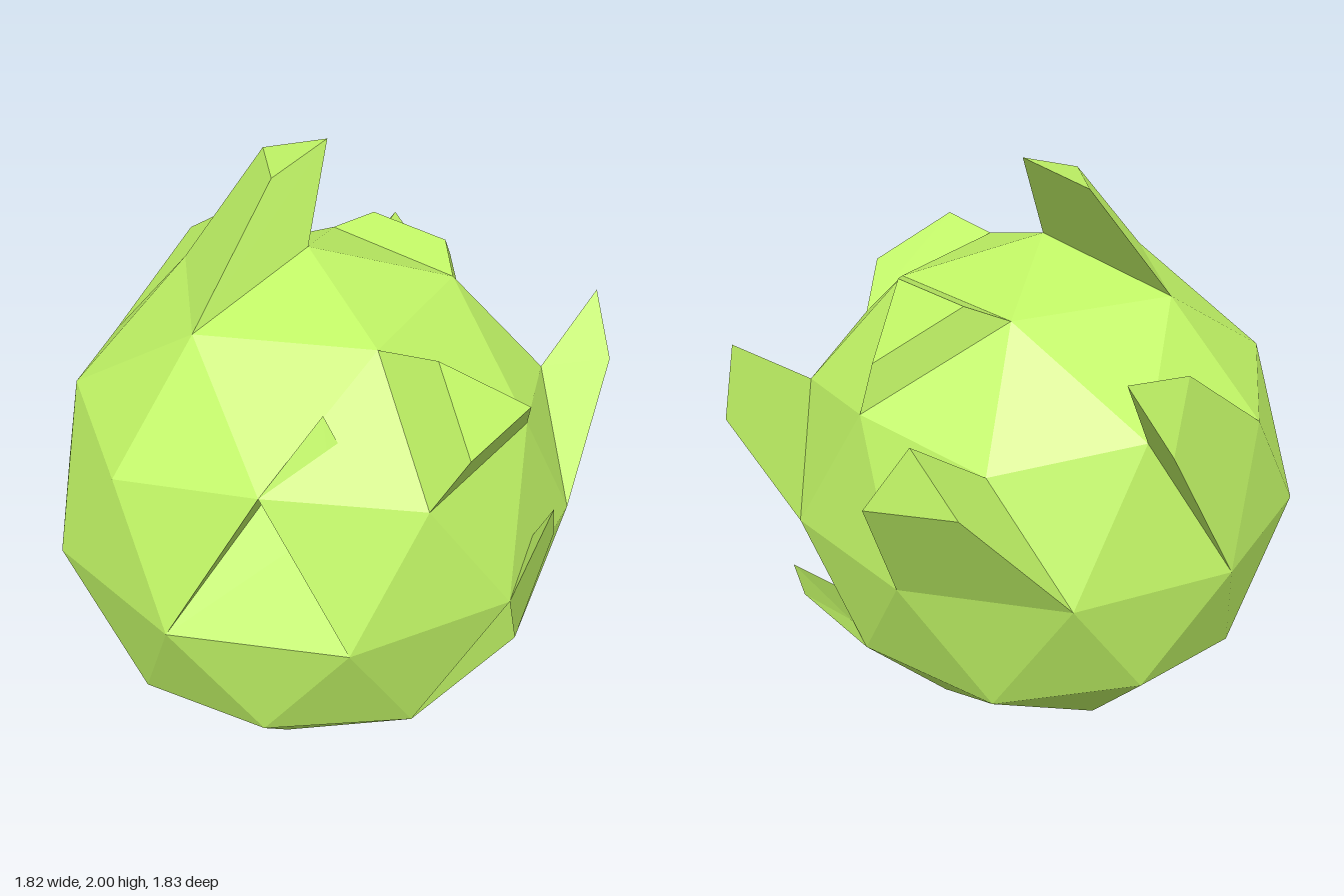
import * as THREE from 'three';
import { ConvexGeometry } from 'three/addons/geometries/ConvexGeometry.js';

const R = 0.86;
const CENTER = new THREE.Vector3(-0.05, R, 0.1);

// Five points on the ball at height h (unit sphere), the first at angle start from +z
function ring(h, start, count = 5) {
  const r = Math.sqrt(1 - h * h);
  return Array.from({ length: count }, (_, i) => {
    const a = THREE.MathUtils.degToRad(start + (i * 360) / count);
    return new THREE.Vector3(r * Math.sin(a), h, r * Math.cos(a)).multiplyScalar(R).add(CENTER);
  });
}

// Corners of a once-subdivided icosahedron standing on one corner
function ballPoints() {
  return [
    ...ring(1, 0, 1), ...ring(0.8507, 36), ...ring(0.4472, 36), ...ring(0.5257, 0),
    ...ring(0, 18, 10),
    ...ring(-0.4472, 0), ...ring(-0.5257, 36), ...ring(-0.8507, 0), ...ring(-1, 0, 1),
  ];
}

function meshFrom(name, triangles, material) {
  const geometry = new THREE.BufferGeometry().setFromPoints(triangles.flat());
  geometry.computeVertexNormals();
  const mesh = new THREE.Mesh(geometry, material);
  mesh.name = name;
  return mesh;
}

// Pulls a triangle out by a shift while shrinking it about its middle
function extrudeTriangle(corners, middle, shift, scale) {
  const tip = corners.map((p) => p.clone().sub(middle).multiplyScalar(scale).add(middle).add(shift));
  const triangles = [tip];
  for (let i = 0; i < 3; i++) {
    const j = (i + 1) % 3;
    triangles.push([corners[i], corners[j], tip[j]], [corners[i], tip[j], tip[i]]);
  }
  return triangles;
}

export function createModel() {
  const group = new THREE.Group();
  group.name = 'leafyBall';
  // Leaves fold back through the ball, so both sides of the sheet show
  const material = new THREE.MeshStandardMaterial({
    color: 0xc0f465, flatShading: true, side: THREE.DoubleSide,
  });

  // Each entry: middle of the ball face it grows from, shift of the tip, tip scale
  const sweep = [0.145, 0.32, -0.205];
  const leaves = [
    { name: 'crownLeaf', at: [-0.28, 1.63, 0.175] },
    { name: 'frontLeaf', at: [-0.05, 1.01, 0.89] },
    { name: 'backLeaf', at: [-0.05, 0.99, -0.7] },
    { name: 'leftLeaf', at: [0.71, 0.99, -0.15] },
    { name: 'lowerFrontLeaf', at: [0.57, 0.58, 0.545] },
    { name: 'lowerBackLeaf', at: [0.42, 0.34, -0.3] },
    { name: 'backRightLeaf', at: [-0.67, 1.14, -0.345] },
    { name: 'rightHollow', at: [-0.81, 0.73, 0.35] },
    { name: 'frontBud', at: [0.42, 1.38, 0.504], shift: [0.093, 0.12, 0.08], scale: 0.6 },
    { name: 'topBud', at: [0.237, 1.497, -0.293], shift: [0.016, 0.086, -0.06], scale: 0.6 },
  ];

  // Sort the ball faces into plain ones and ones that carry a leaf
  const position = new ConvexGeometry(ballPoints()).getAttribute('position');
  const plain = [];
  for (let i = 0; i < position.count; i += 3) {
    const corners = [0, 1, 2].map((k) => new THREE.Vector3().fromBufferAttribute(position, i + k));
    const middle = new THREE.Triangle(...corners).getMidpoint(new THREE.Vector3());
    const leaf = leaves.find((l) => middle.distanceTo(new THREE.Vector3(...l.at)) < 0.08);
    if (!leaf) {
      plain.push(corners);
      continue;
    }
    const shift = new THREE.Vector3(...(leaf.shift ?? sweep));
    group.add(meshFrom(leaf.name, extrudeTriangle(corners, middle, shift, leaf.scale ?? 0.5), material));
  }
  group.add(meshFrom('ball', plain, material));
  return group;
}
